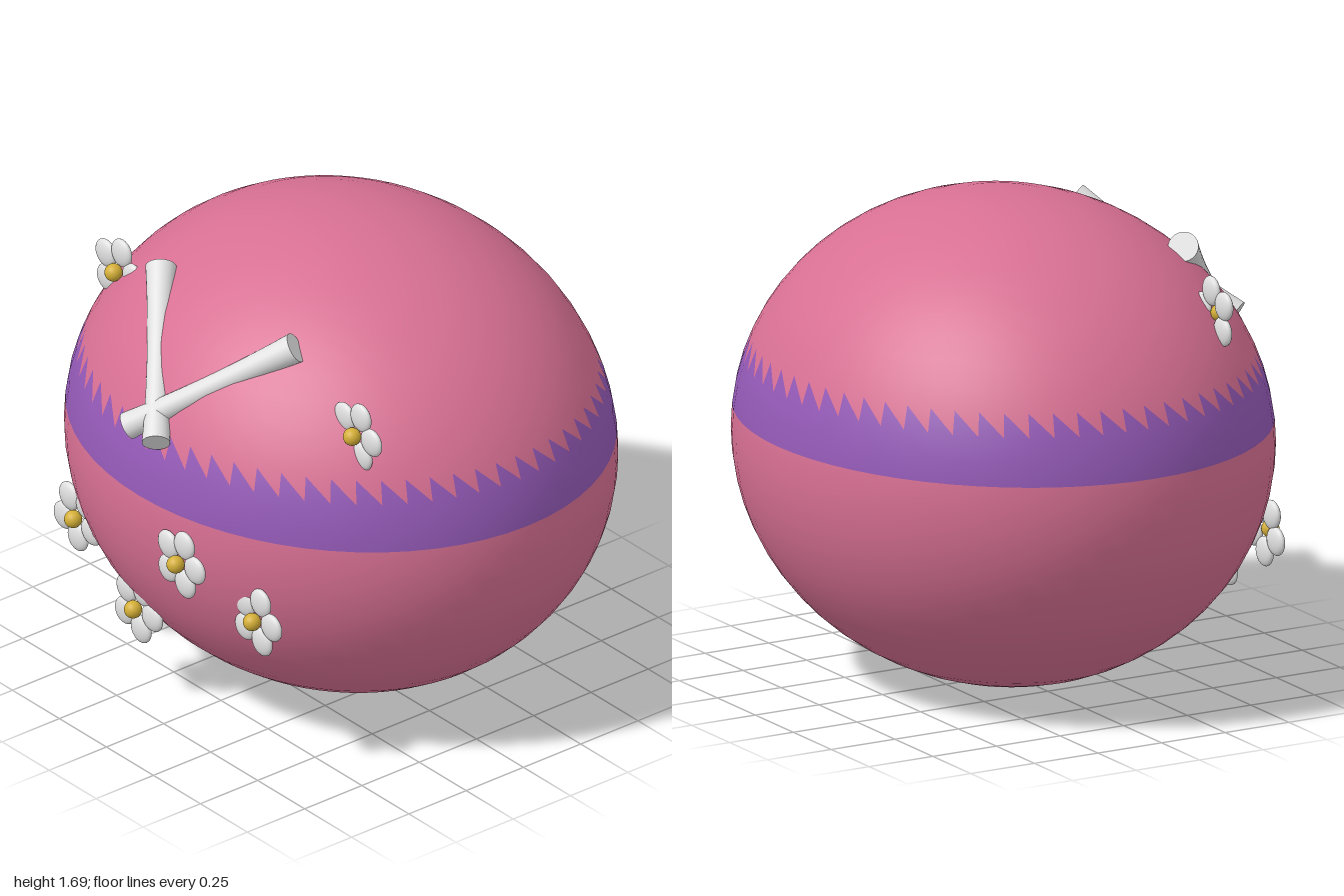
import * as THREE from 'three';

const mat = (name, color) => {
  const m = new THREE.MeshStandardMaterial({ color });
  m.name = name;
  return m;
};

// Ellipsoid shell whose faces are sorted into a main group and a saw-toothed band group
function bodyGeometry() {
  const cols = 64, rows = 32;
  const geo = new THREE.SphereGeometry(1, cols, rows);
  const pos = geo.attributes.position, idx = geo.index.array;
  const lat = (row) => Math.sin((row * Math.PI) / rows);
  const low = lat(1), high = (2 * lat(3) + lat(4)) / 3 + 0.005;
  const shell = [], band = [];
  for (let i = 0; i < idx.length; i += 3) {
    const tri = [idx[i], idx[i + 1], idx[i + 2]];
    const y = tri.reduce((s, v) => s + pos.getY(v), 0) / 3;
    (y > low && y < high ? band : shell).push(...tri);
  }
  geo.setIndex([...shell, ...band]);
  geo.clearGroups();
  geo.addGroup(0, shell.length, 0);
  geo.addGroup(shell.length, band.length, 1);
  geo.scale(1, 0.845, 0.89);
  return geo;
}

// Rod with a narrow waist and flared, flat ends
function boneGeometry(length) {
  const geo = new THREE.CylinderGeometry(1, 1, length, 24, 12);
  const pos = geo.attributes.position;
  for (let i = 0; i < pos.count; i++) {
    const t = pos.getY(i) / length + 0.5;
    const r = 0.039 + 0.045 * (t - 0.45) ** 2;
    pos.setX(i, pos.getX(i) * r);
    pos.setZ(i, pos.getZ(i) * r);
  }
  return geo;
}

export function createModel() {
  const model = new THREE.Group();
  model.name = 'decoratedEgg';
  const pink = mat('pink', 0xd87093);
  const purple = mat('purple', 0x9359b6);
  const white = mat('white', 0xe0e0e0);
  const gold = mat('gold', 0xd4af37);

  const body = new THREE.Mesh(bodyGeometry(), [pink, purple]);
  body.name = 'bodyWithBand';
  body.position.set(0, 0.85, -0.025);
  model.add(body);

  // Crossed bones
  for (const s of [-1, 1]) {
    const bottom = new THREE.Vector3(-0.075 * s, 1.164, 0.845);
    const top = new THREE.Vector3(0.358 * s, 1.522, 0.468);
    const dir = top.clone().sub(bottom);
    const bone = new THREE.Mesh(boneGeometry(dir.length()), white);
    bone.name = s < 0 ? 'rightBone' : 'leftBone';
    bone.position.copy(bottom).add(top).multiplyScalar(0.5);
    bone.quaternion.setFromUnitVectors(new THREE.Vector3(0, 1, 0), dir.normalize());
    model.add(bone);
  }

  // Five-petalled flowers: x, y, z, turn in degrees
  const petalGeo = new THREE.SphereGeometry(1, 20, 14).scale(0.052, 0.05, 0.02);
  const centreGeo = new THREE.SphereGeometry(0.031, 20, 14);
  const flowers = [
    [0.23, 0.775, 0.865, 2], [0.487, 0.62, 0.742, 3], [-0.54, 0.545, 0.68, -18],
    [-0.18, 0.365, 0.714, -5], [-0.642, 1.364, 0.42, 5], [0.667, 1.315, 0.453, 2],
  ];
  flowers.forEach(([x, y, z, turn], n) => {
    const flower = new THREE.Group();
    flower.name = `flower${n + 1}`;
    flower.position.set(x, y, z);
    for (let i = 0; i < 5; i++) {
      const a = THREE.MathUtils.degToRad(turn + i * 72);
      const petal = new THREE.Mesh(petalGeo, white);
      petal.name = 'petal';
      petal.position.set(0.077 * Math.cos(a), 0.077 * Math.sin(a), 0);
      petal.rotation.z = a;
      flower.add(petal);
    }
    const centre = new THREE.Mesh(centreGeo, gold);
    centre.name = 'flowerCentre';
    centre.position.z = 0.022;
    flower.add(centre);
    model.add(flower);
  });
  return model;
}
